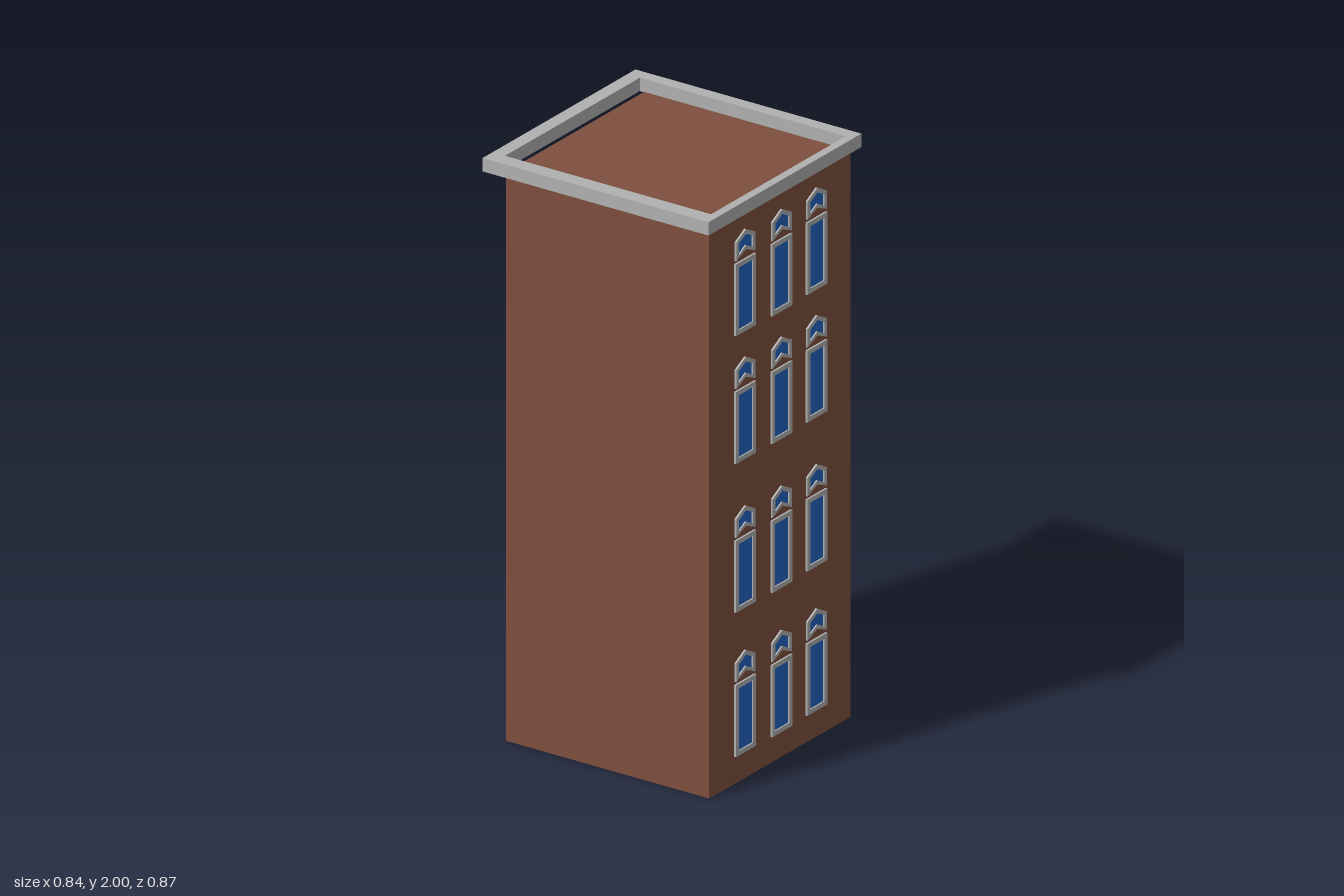
import * as THREE from 'three';

const brick = new THREE.MeshStandardMaterial({ color: 0x7f4f3e });
const stone = new THREE.MeshStandardMaterial({ color: 0xb0b0b0 });
const glass = new THREE.MeshStandardMaterial({ color: 0x2062c0 });

const WALL_Z = 0.41; // plane of the front wall

const rect = (x0, y0, x1, y1) => [[x0, y0], [x1, y0], [x1, y1], [x0, y1]];

// Closed chevron: pointed top, notched underside
const chevron = (w, bottom, notch, shoulder, peak) =>
  [[-w, bottom], [0, notch], [w, bottom], [w, shoulder], [0, peak], [-w, shoulder]];

const toPoints = (pts) => pts.map(([x, y]) => new THREE.Vector2(x, y));

function extrude(outline, hole, depth) {
  const shape = new THREE.Shape(toPoints(outline));
  if (hole) shape.holes.push(new THREE.Path(toPoints(hole)));
  return new THREE.ExtrudeGeometry(shape, { depth, bevelEnabled: false });
}

function addMesh(parent, name, geometry, material) {
  const mesh = new THREE.Mesh(geometry, material);
  mesh.name = name;
  parent.add(mesh);
  return mesh;
}

export function createModel() {
  const model = new THREE.Group();
  model.name = 'building';

  // Brick tower with a flat roof
  const walls = addMesh(model, 'walls', new THREE.BoxGeometry(0.775, 1.956, 0.78), brick);
  walls.position.set(0.003, 0.978, 0.02);

  // Open stone cornice around the roof (shape y becomes -z)
  const cornice = addMesh(model, 'cornice',
    extrude(rect(-0.42, -0.432, 0.418, 0.435), rect(-0.365, -0.403, 0.373, 0.387), 0.046), stone);
  cornice.rotation.x = -Math.PI / 2;
  cornice.position.y = 1.954;

  // Window parts, measured from the centre of the sill
  const frameGeo = extrude(rect(-0.055, 0, 0.055, 0.247), rect(-0.039, 0.016, 0.039, 0.231), 0.007);
  const paneGeo = extrude(rect(-0.039, 0.016, 0.039, 0.231), null, 0.002);
  const hoodInner = chevron(0.038, 0.274, 0.294, 0.313, 0.333);
  const hoodGeo = extrude(chevron(0.053, 0.257, 0.28, 0.321, 0.349), hoodInner, 0.007);
  const hoodPaneGeo = extrude(hoodInner, null, 0.002);

  // Four floors of three windows; the middle column sits slightly lower
  const columns = [[-0.193, 0], [0.006, -0.004], [0.198, 0]];
  for (const sill of [0.094, 0.59, 1.102, 1.541]) {
    for (const [x, drop] of columns) {
      const windowGroup = new THREE.Group();
      windowGroup.name = 'window';
      windowGroup.position.set(x, sill + drop, WALL_Z);
      addMesh(windowGroup, 'windowFrame', frameGeo, stone);
      addMesh(windowGroup, 'windowPane', paneGeo, glass);
      addMesh(windowGroup, 'hoodFrame', hoodGeo, stone);
      addMesh(windowGroup, 'hoodPane', hoodPaneGeo, glass);
      model.add(windowGroup);
    }
  }
  return model;
}
